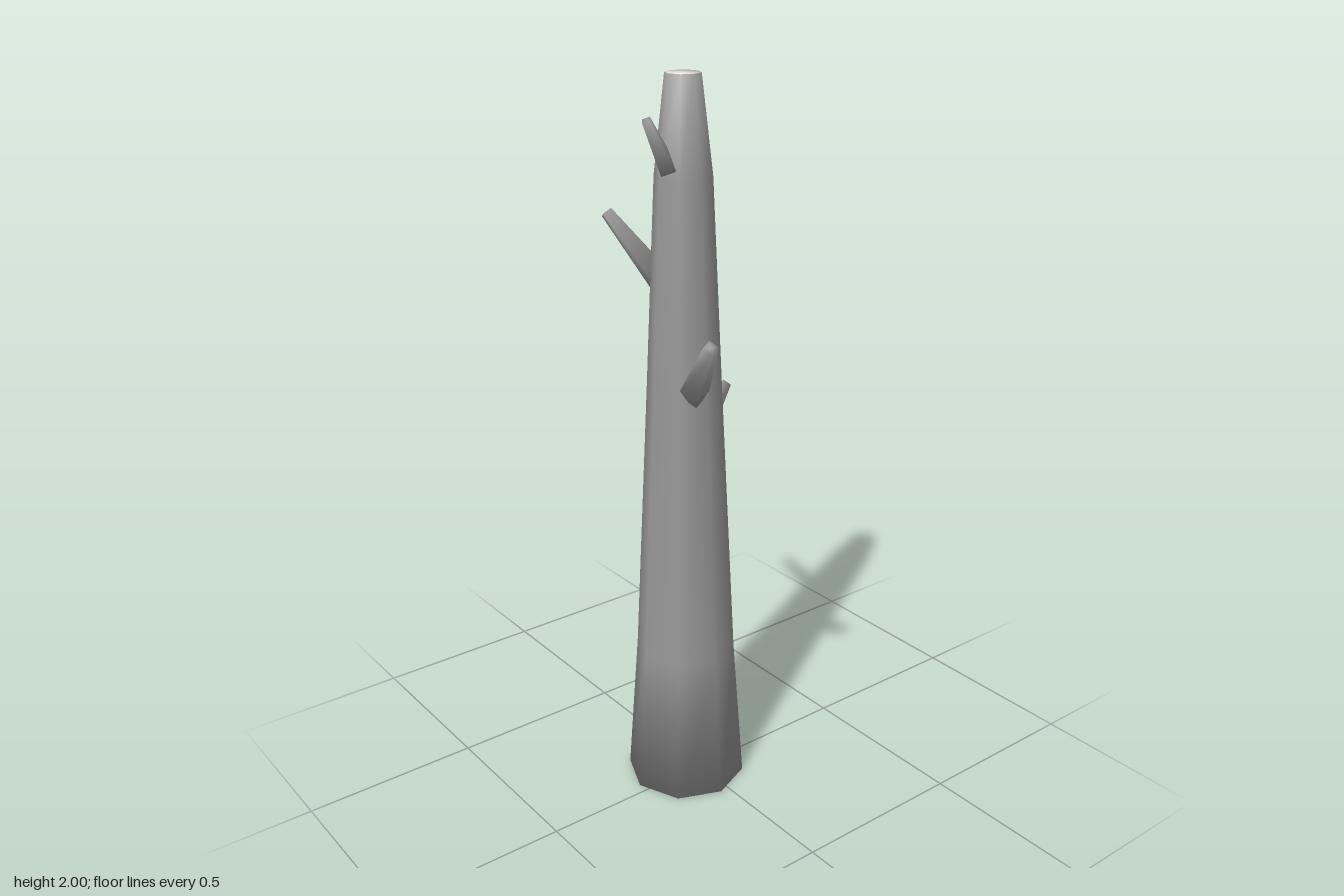
import * as THREE from 'three';
import { mergeVertices } from 'three/addons/utils/BufferGeometryUtils.js';

const bark = new THREE.MeshStandardMaterial({ color: 0x989898 });
const cutWood = new THREE.MeshStandardMaterial({ color: 0xe4e0da });

// Weld seams and caps, then average face normals weighted by corner angle,
// so the rims tilt evenly between wall and cap
function smooth(geometry) {
  geometry.deleteAttribute('uv');
  geometry.deleteAttribute('normal');
  const welded = mergeVertices(geometry, 1e-4);
  const position = welded.attributes.position;
  const index = welded.index;
  const normals = Array.from({ length: position.count }, () => new THREE.Vector3());
  for (let f = 0; f < index.count; f += 3) {
    const ids = [0, 1, 2].map((k) => index.getX(f + k));
    const corners = ids.map((id) => new THREE.Vector3().fromBufferAttribute(position, id));
    const faceNormal = new THREE.Triangle(...corners).getNormal(new THREE.Vector3());
    ids.forEach((id, k) => {
      const a = corners[(k + 1) % 3].clone().sub(corners[k]);
      const b = corners[(k + 2) % 3].clone().sub(corners[k]);
      normals[id].addScaledVector(faceNormal, a.angleTo(b));
    });
  }
  const flat = normals.flatMap((n) => n.normalize().toArray());
  welded.setAttribute('normal', new THREE.Float32BufferAttribute(flat, 3));
  return welded;
}

// Eight-sided tapering trunk: rings of a plain cylinder moved onto the profile
function makeTrunk() {
  const rings = [[0.046, 2], [0.075, 1.75], [0.1, 1.2], [0.138, 0.42], [0.168, 0]];
  const geometry = new THREE.CylinderGeometry(1, 1, 4, 8, 4);
  const position = geometry.attributes.position;
  for (let i = 0; i < position.count; i++) {
    const [radius, y] = rings[Math.round(2 - position.getY(i))];
    position.setXYZ(i, position.getX(i) * radius, y, position.getZ(i) * radius);
  }
  const mesh = new THREE.Mesh(smooth(geometry), [bark, cutWood, bark]);
  mesh.name = 'trunk';
  mesh.position.set(-0.03, 0, 0.027);
  return mesh;
}

// Tapered four-sided stub running from base to tip, one corner pointing down
function makeBranch(name, base, tip, baseRadius, tipRadius) {
  const start = new THREE.Vector3(...base);
  const along = new THREE.Vector3(...tip).sub(start);
  const length = along.length();
  along.normalize();
  const side = new THREE.Vector3(0, 1, 0).cross(along).normalize();
  const under = side.clone().cross(along);
  const geometry = new THREE.CylinderGeometry(tipRadius, baseRadius, length, 4);
  geometry.translate(0, length / 2, 0);
  geometry.applyMatrix4(new THREE.Matrix4().makeBasis(side, along, under).setPosition(start));
  const mesh = new THREE.Mesh(smooth(geometry), bark);
  mesh.name = name;
  return mesh;
}

export function createModel() {
  const tree = new THREE.Group();
  tree.name = 'bareTree';
  tree.add(
    makeTrunk(),
    // Broken branch stubs
    makeBranch('topBranch', [-0.015, 1.772, 0.083], [-0.01, 1.9, 0.153], 0.028, 0.014),
    makeBranch('rightBranch', [-0.088, 1.477, 0.06], [-0.214, 1.641, 0.136], 0.037, 0.018),
    makeBranch('leftBranch', [0.043, 1.2, 0.052], [0.21, 1.383, 0.128], 0.042, 0.02),
    makeBranch('backBranch', [-0.07, 1.043, -0.063], [-0.123, 1.128, -0.187], 0.036, 0.018),
  );
  return tree;
}
